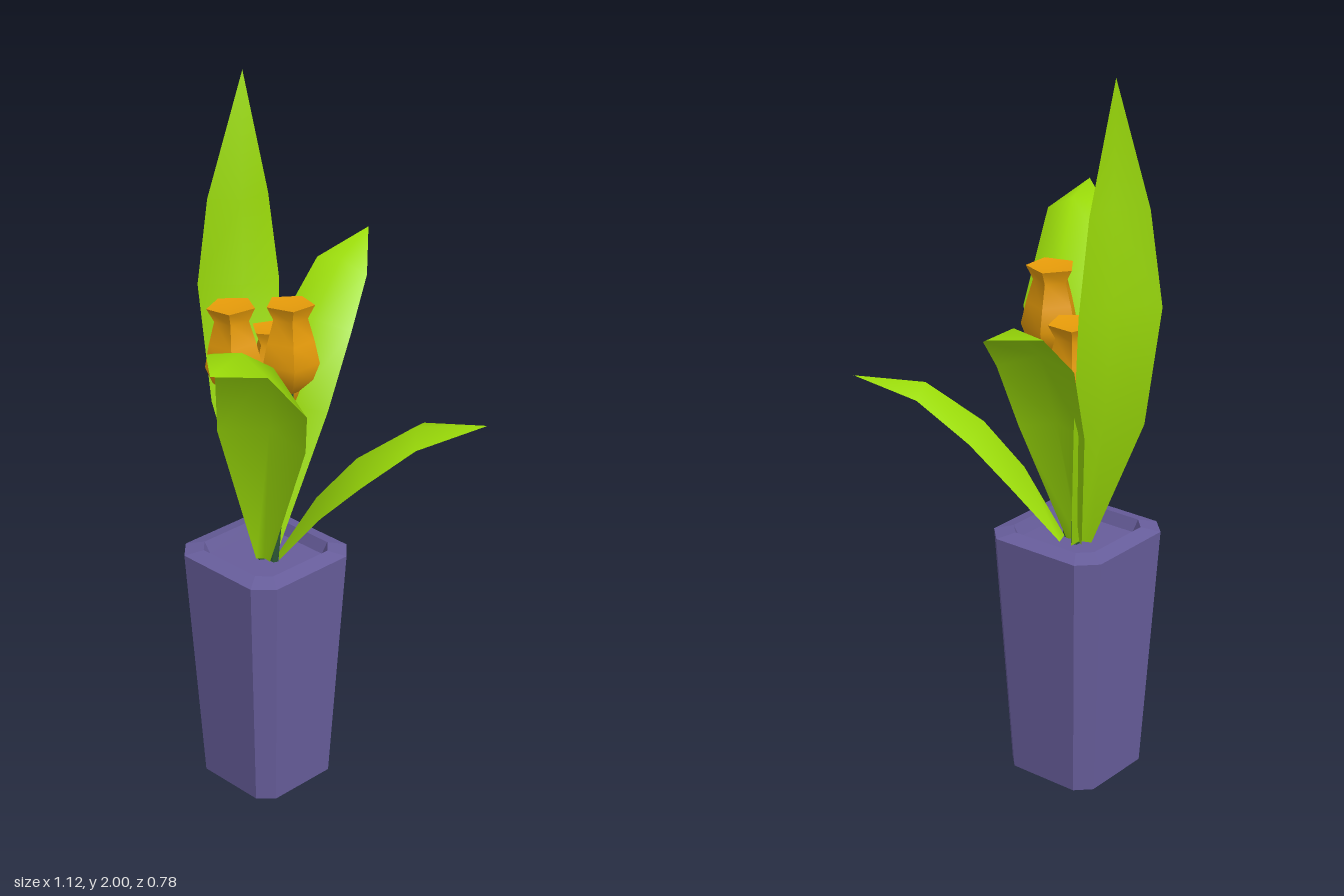
import * as THREE from 'three';
import { toCreasedNormals } from 'three/addons/utils/BufferGeometryUtils.js';

const V = (p) => new THREE.Vector3(...p);
const CX = -0.029, CZ = -0.104; // vase axis

function material(name, color, side = THREE.FrontSide) {
  const m = new THREE.MeshStandardMaterial({ color, side });
  m.name = name;
  return m;
}

function buildGeometry(positions, index) {
  const g = new THREE.BufferGeometry();
  g.setAttribute('position', new THREE.Float32BufferAttribute(positions, 3));
  g.setIndex(index);
  g.computeVertexNormals();
  return g;
}

// Chamfered-square rings [half width, chamfer, y] joined from bottom to top
function vaseGeometry(rings) {
  const pos = [], index = [];
  for (const [h, c, y] of rings) {
    for (let k = 0; k < 4; k++) {
      const s = Math.round(Math.sin(k * Math.PI / 2)), t = Math.round(Math.cos(k * Math.PI / 2));
      for (const x of [c - h, h - c]) pos.push(x * t + h * s, y, h * t - x * s);
    }
  }
  for (let j = 0; j < rings.length - 1; j++) {
    for (let i = 0; i < 8; i++) {
      const a = j * 8 + i, b = j * 8 + (i + 1) % 8;
      index.push(a, b, b + 8, a, b + 8, a + 8);
    }
  }
  return toCreasedNormals(buildGeometry(pos, index), 0.15);
}

// Leaf from pairs of edge points, with a midrib raised towards the plant's axis
function leafGeometry(rows, tip, bulge) {
  const pos = [], index = [];
  const mids = rows.map(([a, b]) => V(a).add(V(b)).multiplyScalar(0.5));
  mids.push(V(tip));
  rows.forEach(([a, b], j) => {
    const along = mids[j + 1].clone().sub(mids[Math.max(j - 1, 0)]);
    const across = V(b).sub(V(a));
    const n = across.clone().cross(along).normalize();
    const m = mids[j].clone();
    if (n.dot(new THREE.Vector3(CX - m.x, 0.3, CZ - m.z)) < 0) n.negate();
    m.addScaledVector(n, across.length() * bulge);
    pos.push(...a, ...m.toArray(), ...b);
  });
  pos.push(...tip);
  const last = rows.length - 1, t = rows.length * 3;
  for (let j = 0; j <= last; j++) {
    for (let i = 0; i < 2; i++) {
      const a = j * 3 + i;
      if (j === last) index.push(a, a + 1, t);
      else index.push(a, a + 1, a + 4, a, a + 4, a + 3);
    }
  }
  return buildGeometry(pos, index);
}

export function createModel() {
  const model = new THREE.Group();
  model.name = 'pottedFlowers';
  const purple = material('vasePurple', 0x675d9b);
  const green = material('leafGreen', 0x9cdd09, THREE.DoubleSide);
  const dark = material('stemGreen', 0x2f5a38);
  const orange = material('petalOrange', 0xec9f0a);

  const add = (name, geometry, mat, parent = model) => {
    const mesh = new THREE.Mesh(geometry, mat);
    mesh.name = name;
    parent.add(mesh);
    return mesh;
  };

  // Vase with sloping rim and shallow recessed top
  const vase = add('vase', vaseGeometry([
    [0, 0, 0], [0.145, 0.04, 0], [0.183, 0.05, 0.708], [0.138, 0.035, 0.72],
    [0.125, 0.03, 0.685], [0, 0, 0.685],
  ]), purple);
  vase.position.set(CX, 0, CZ);

  // Leaves: edge pairs from base to shoulder, then the tip
  const leaves = {
    leftLeaf: {
      rows: [
        [[-0.06, 0.69, -0.11], [-0.045, 0.69, -0.07]],
        [[-0.175, 1.11, -0.133], [-0.086, 1.1, 0.11]],
        [[-0.265, 1.39, -0.04], [-0.165, 1.255, 0.195]],
        [[-0.44, 1.49, 0.125], [-0.39, 1.465, 0.29]],
      ],
      tip: [-0.563, 1.517, 0.276],
    },
    tallLeaf: {
      rows: [
        [[-0.02, 0.69, -0.16], [0.03, 0.69, -0.13]],
        [[-0.012, 1.08, -0.335], [0.15, 1.08, -0.23]],
        [[-0.007, 1.41, -0.388], [0.193, 1.41, -0.277]],
        [[0.002, 1.66, -0.352], [0.157, 1.66, -0.28]],
      ],
      tip: [0.098, 2, -0.312],
    },
    rightLeaf: {
      rows: [
        [[0.01, 0.69, -0.15], [0.0, 0.69, -0.09]],
        [[0.13, 1.06, -0.25], [0.183, 1.07, -0.075]],
        [[0.226, 1.28, -0.29], [0.29, 1.27, -0.092]],
        [[0.374, 1.41, -0.31], [0.42, 1.385, -0.16]],
      ],
      tip: [0.562, 1.457, -0.292],
    },
    frontLeaf: {
      rows: [
        [[0.03, 0.69, -0.09], [-0.02, 0.69, -0.06]],
        [[0.138, 0.86, -0.01], [-0.01, 0.87, 0.09]],
        [[0.213, 0.99, 0.07], [0.04, 0.98, 0.19]],
        [[0.272, 1.1, 0.2], [0.142, 1.09, 0.29]],
      ],
      tip: [0.313, 1.14, 0.388],
    },
  };
  for (const [name, { rows, tip }] of Object.entries(leaves)) {
    add(name, leafGeometry(rows, tip, 0.2), green);
  }

  // Five-sided flower heads with a flared mouth, each on a thin bent stem
  const profile = [[0, 0], [0.022, 0.003], [0.062, 0.04], [0.08, 0.088], [0.066, 0.15], [0.048, 0.212], [0.067, 0.25], [0, 0.243]]
    .map(([r, y]) => new THREE.Vector2(r, y));
  const headGeometry = toCreasedNormals(new THREE.LatheGeometry(profile, 5, Math.PI), 0.85);
  const flowers = [
    { root: [-0.04, 0.68, -0.11], base: [-0.1, 1.195, -0.138], top: [-0.106, 1.445, -0.146], turn: -0.2 },
    { root: [-0.025, 0.68, -0.075], base: [-0.006, 1.203, -0.03], top: [0, 1.453, -0.036], turn: 0 },
    { root: [0.0, 0.68, -0.12], base: [0.042, 1.085, -0.145], top: [0.053, 1.33, -0.15], turn: 0.3 },
  ];
  flowers.forEach(({ root, base, top, turn }, i) => {
    const flower = new THREE.Group();
    flower.name = 'flower' + (i + 1);
    model.add(flower);

    const bend = V(root).lerp(V(base), 0.55).add(new THREE.Vector3(0, 0.02, 0));
    const path = new THREE.QuadraticBezierCurve3(V(root), bend, V(base).add(new THREE.Vector3(0, 0.02, 0)));
    add('stem', new THREE.TubeGeometry(path, 4, 0.013, 5), dark, flower);

    const head = add('flowerHead', headGeometry, orange, flower);
    head.position.copy(V(base));
    head.quaternion.setFromUnitVectors(new THREE.Vector3(0, 1, 0), V(top).sub(V(base)).normalize());
    head.rotateY(turn);
  });

  return model;
}
